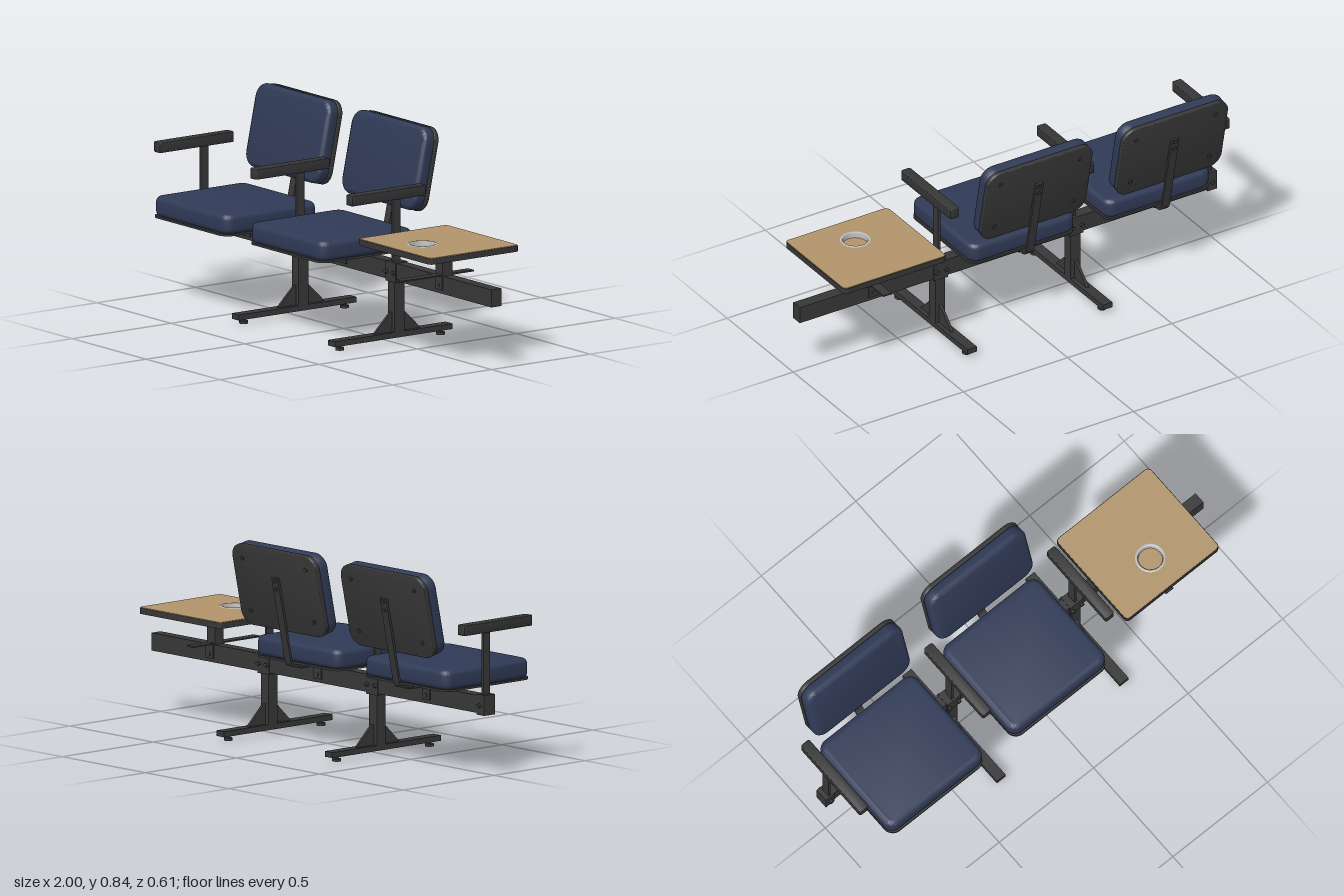
import * as THREE from 'three';
import { toCreasedNormals } from 'three/addons/utils/BufferGeometryUtils.js';

const material = (name, color, side = THREE.FrontSide) => {
  const m = new THREE.MeshStandardMaterial({ color, side });
  m.name = name;
  return m;
};

export function createModel() {
  const metal = material('charcoal metal', 0x373737);
  const fabric = material('navy upholstery', 0x303a56);
  const wood = material('wood laminate', 0xb0946b);
  const steel = material('cup holder steel', 0xbcbcbc, THREE.DoubleSide);
  const model = new THREE.Group();
  model.name = 'beamSeating';
  const BEAM_Z = -0.025;

  const add = (parent, name, geometry, mat, x = 0, y = 0, z = 0) => {
    const mesh = new THREE.Mesh(geometry, mat);
    mesh.name = name;
    mesh.position.set(x, y, z);
    parent.add(mesh);
    return mesh;
  };
  const group = (name, x = 0, y = 0, z = 0) => {
    const g = new THREE.Group();
    g.name = name;
    g.position.set(x, y, z);
    model.add(g);
    return g;
  };
  // Box given by its x centre and width, and its y and z limits
  const box = (parent, name, x, w, y0, y1, z0, z1) =>
    add(parent, name, new THREE.BoxGeometry(w, y1 - y0, z1 - z0), metal, x, (y0 + y1) / 2, (z0 + z1) / 2);

  const roundedRect = (w, h, r) => {
    const s = new THREE.Shape(), a = w / 2 - r, b = h / 2 - r;
    s.absarc(a, b, r, 0, Math.PI / 2);
    s.absarc(-a, b, r, Math.PI / 2, Math.PI);
    s.absarc(-a, -b, r, Math.PI, Math.PI * 1.5);
    s.absarc(a, -b, r, Math.PI * 1.5, Math.PI * 2);
    s.closePath();
    return s;
  };
  // Rounded slab in the xy plane, from z = 0 to z = t
  const slab = (w, h, t, r, bevel = 0, hole = null) => {
    const shape = roundedRect(w - 2 * bevel, h - 2 * bevel, Math.max(r - bevel, 0.005));
    if (hole) shape.holes.push(new THREE.Path().absarc(hole.x, hole.y, hole.r, 0, Math.PI * 2, true));
    const g = new THREE.ExtrudeGeometry(shape, {
      depth: t - 2 * bevel, bevelEnabled: bevel > 0, bevelSize: bevel,
      bevelThickness: bevel, bevelSegments: 5, curveSegments: 12,
    });
    g.translate(0, 0, bevel);
    return toCreasedNormals(g, 0.7);
  };
  const flatSlab = (...args) => slab(...args).rotateX(-Math.PI / 2);
  // Side outline of [z, y] points, extruded across x
  const sideProfile = (points, w) => {
    const shape = new THREE.Shape(points.map(([z, y]) => new THREE.Vector2(z, y)));
    const g = new THREE.ExtrudeGeometry(shape, { depth: w, bevelEnabled: false });
    return g.rotateY(-Math.PI / 2).translate(w / 2, 0, 0);
  };
  const disc = (r, h, n = 16) => new THREE.CylinderGeometry(r, r, h, n);
  const boltZ = (parent, x, y, z) => add(parent, 'bolt', disc(0.009, 0.012, 6).rotateX(Math.PI / 2), metal, x, y, z);

  // Main beam
  box(model, 'beam', 0, 2, 0.257, 0.33, -0.05, 0);

  // Legs
  const gusset = (sign) => {
    const pts = [[0, 0.04], [0.115, 0.04], [0.115, 0.045], [0.038, 0.12], [0.022, 0.127], [0, 0.127]]
      .map(([d, y]) => [BEAM_Z + sign * d, y]);
    return sideProfile(pts, 0.012);
  };
  for (const x of [-0.325, 0.325]) {
    const leg = group('leg', x);
    box(leg, 'legColumn', 0, 0.046, 0.04, 0.257, -0.047, 0.002);
    box(leg, 'footBar', 0, 0.046, 0.02, 0.043, -0.29, 0.305);
    box(leg, 'beamClamp', 0, 0.068, 0.25, 0.333, -0.054, 0.006);
    for (const s of [-1, 1]) {
      add(leg, 'gusset', gusset(s), metal);
      const z = 0.008 + s * 0.255;
      add(leg, 'levellingPad', disc(0.018, 0.011), metal, 0, 0.0055, z);
      add(leg, 'levellingStem', disc(0.007, 0.012), metal, 0, 0.016, z);
      for (const bx of [-0.024, 0.024]) boltZ(leg, bx, 0.29, BEAM_Z + s * 0.036);
    }
  }

  // Armrests
  for (const x of [-0.975, -0.325, 0.325]) {
    const arm = group('armrest', x);
    add(arm, 'armPad', flatSlab(0.045, 0.377, 0.043, 0.01, 0.003), metal, 0, 0.591, 0.0285);
    box(arm, 'armPost', 0, 0.01, 0.32, 0.6, -0.041, -0.003);
  }
  box(model, 'endClamp', -0.9775, 0.045, 0.251, 0.335, -0.054, 0.004);
  for (const z of [-0.06, 0.01]) boltZ(model, -0.975, 0.29, z);

  // Cross bars that hold the seats and table
  const addMount = (parent) => {
    box(parent, 'crossBar', 0, 0.04, 0.33, 0.336, -0.16, 0.207);
    for (const z of [-0.052, 0.002]) {
      box(parent, 'mountTab', 0, 0.045, 0.272, 0.334, z - 0.003, z + 0.003);
      boltZ(parent, 0, 0.29, z);
    }
  };

  // Flat strap that carries the backrest
  const line = [[-0.09, 0.342], [-0.183, 0.342], [-0.199, 0.346], [-0.209, 0.355], [-0.214, 0.37], [-0.286, 0.715]];
  const offset = (d) => line.map(([z, y], i) => {
    const a = line[Math.max(i - 1, 0)], b = line[Math.min(i + 1, line.length - 1)];
    const dz = b[0] - a[0], dy = b[1] - a[1], len = Math.hypot(dz, dy);
    return [z - dy / len * d, y + dz / len * d];
  });
  const strap = sideProfile([...offset(0.005), ...offset(-0.005).reverse()], 0.037);

  // Seats
  for (const x of [-0.65, 0]) {
    const seat = group('seat', x);
    addMount(seat);
    for (const z of [-0.055, 0.16]) add(seat, 'spacer', disc(0.01, 0.016), metal, 0, 0.342, z);
    add(seat, 'seatPan', flatSlab(0.505, 0.476, 0.009, 0.045), metal, 0, 0.348, 0.063);
    add(seat, 'seatCushion', flatSlab(0.505, 0.47, 0.082, 0.045, 0.022), fabric, 0, 0.353, 0.061);
    add(seat, 'backStrap', strap, metal);

    const back = new THREE.Group();
    back.name = 'backrest';
    back.position.set(0, 0.49, -0.232);
    back.rotation.x = -0.206;
    seat.add(back);
    add(back, 'backBoard', slab(0.505, 0.348, 0.02, 0.06, 0.003), metal, 0, 0.174, 0);
    add(back, 'backCushion', slab(0.505, 0.345, 0.058, 0.06, 0.018), fabric, 0, 0.174, 0.013);
    for (const y of [0.065, 0.29]) for (const s of [-1, 1]) boltZ(back, s * 0.19, y, 0);
    for (const y of [0.185, 0.22]) boltZ(back, 0, y, -0.01);
  }

  // Side table with recessed cup holder
  const table = group('sideTable', 0.648);
  addMount(table);
  const hole = { x: 0, y: -0.08, r: 0.056 };
  box(table, 'tablePost', 0, 0.048, 0.33, 0.438, -0.047, 0.002);
  box(table, 'tablePlate', 0, 0.28, 0.437, 0.445, -0.15, 0.1);
  add(table, 'tableEdge', flatSlab(0.495, 0.452, 0.024, 0.02, 0, hole), metal, 0, 0.444, 0.005);
  add(table, 'tableTop', flatSlab(0.489, 0.446, 0.003, 0.018, 0, hole), wood, 0, 0.4675, 0.005);
  const rim = [[0.05, 0.444], [0.051, 0.469], [0.054, 0.473], [0.06, 0.473], [0.063, 0.47]]
    .map(([r, y]) => new THREE.Vector2(r, y));
  add(table, 'cupHolderRim', new THREE.LatheGeometry(rim, 32), steel, 0, 0, 0.085);
  add(table, 'cupHolderBase', disc(0.056, 0.002, 32), steel, 0, 0.444, 0.085);
  add(table, 'cupHolderFloor', disc(0.05, 0.003, 32), wood, 0, 0.4475, 0.085);

  return model;
}
